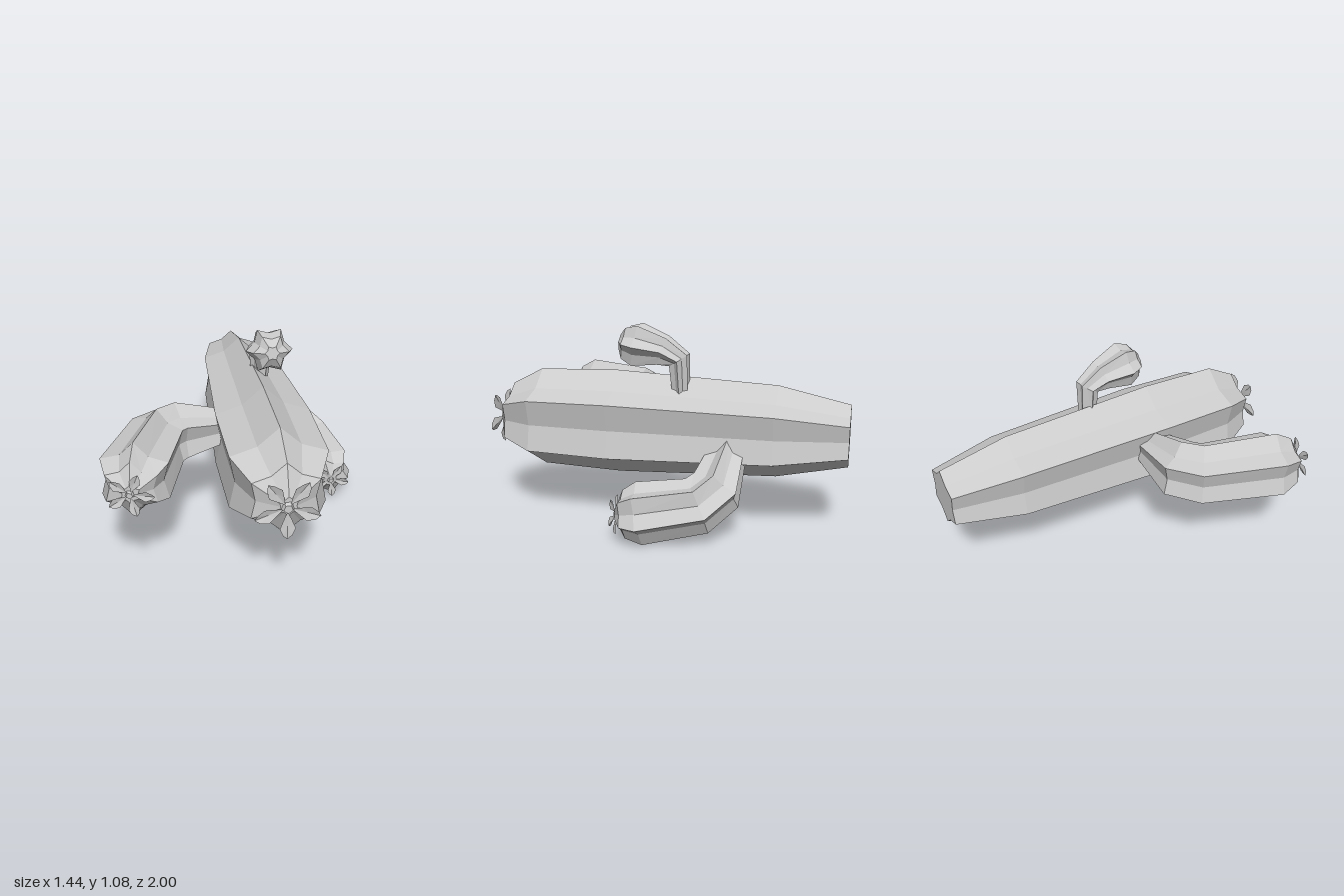
import * as THREE from 'three';

const V = (x, y, z) => new THREE.Vector3(x, y, z);
const material = new THREE.MeshStandardMaterial({ color: 0xcccccc, flatShading: true });
const petalMaterial = new THREE.MeshStandardMaterial({ color: 0xcccccc, flatShading: true, side: THREE.DoubleSide });

function meshFrom(points, index, mat, name) {
  const indexed = new THREE.BufferGeometry().setFromPoints(points);
  indexed.setIndex(index);
  const geometry = indexed.toNonIndexed();
  geometry.computeVertexNormals();
  const mesh = new THREE.Mesh(geometry, mat);
  mesh.name = name;
  return mesh;
}

// Six-ribbed stem: rings are [x, y, z, radius]; one rib follows the ridge direction
function ribbedStem(name, rings, ridge, valley) {
  const sides = 12, points = [], index = [];
  const centres = rings.map(([x, y, z]) => V(x, y, z));
  const last = rings.length - 1;
  rings.forEach((ring, i) => {
    const before = centres[i].clone().sub(centres[Math.max(i - 1, 0)]).normalize();
    const after = centres[Math.min(i + 1, last)].clone().sub(centres[i]).normalize();
    const t = before.add(after).normalize();
    const u = ridge.clone().addScaledVector(t, -ridge.dot(t)).normalize();
    const v = t.clone().cross(u);
    for (let j = 0; j < sides; j++) {
      const a = (j / sides) * Math.PI * 2;
      const r = ring[3] * (j % 2 ? valley : 1);
      points.push(centres[i].clone().addScaledVector(u, r * Math.cos(a)).addScaledVector(v, r * Math.sin(a)));
    }
  });
  const start = points.push(centres[0]) - 1;
  const end = points.push(centres[last]) - 1;
  for (let j = 0; j < sides; j++) {
    const k = (j + 1) % sides;
    for (let i = 0; i < last; i++) {
      const a = i * sides, b = a + sides;
      index.push(a + j, a + k, b + j, a + k, b + k, b + j);
    }
    index.push(start, k, j, end, last * sides + j, last * sides + k);
  }
  return meshFrom(points, index, material, name);
}

// Five folded petals around a small pentagonal centre, facing +z before turning
function flower(name, position, facing, radius, spin) {
  const group = new THREE.Group();
  group.name = name;
  const outline = [
    V(0, 0.12, 0.02), V(-0.13, 0.4, 0.06), V(-0.23, 0.63, 0.11), V(-0.13, 0.87, 0.11),
    V(0, 1, 0.07), V(0.13, 0.87, 0.11), V(0.23, 0.63, 0.11), V(0.13, 0.4, 0.06),
    V(0, 0.6, 0.04),
  ].map((p) => p.multiplyScalar(radius));
  const index = [];
  for (let i = 0; i < 8; i++) index.push(8, (i + 1) % 8, i);
  for (let i = 0; i < 5; i++) {
    const petal = meshFrom(outline, index, petalMaterial, 'petal');
    petal.rotation.z = Math.PI + spin + (i / 5) * Math.PI * 2;
    group.add(petal);
  }
  const centre = new THREE.Mesh(new THREE.CylinderGeometry(0.14 * radius, 0.2 * radius, 0.12 * radius, 5), material);
  centre.name = 'flowerCentre';
  centre.rotation.x = Math.PI / 2;
  centre.position.z = 0.04 * radius;
  group.add(centre);
  group.position.copy(position);
  group.quaternion.setFromUnitVectors(V(0, 0, 1), facing.normalize());
  return group;
}

export function createModel() {
  const model = new THREE.Group();
  model.name = 'cactus';

  // Main trunk lying along z
  const profile = [[-1, 0.17], [-0.62, 0.253], [0.27, 0.295], [0.73, 0.282], [0.91, 0.19], [0.975, 0.05]];
  model.add(ribbedStem('trunk', profile.map(([z, r]) => [0.13, 0.53, z, r]), V(0, 1, 0), 0.765));
  model.add(flower('trunkFlower', V(0.125, 0.525, 0.978), V(0, 0, 1), 0.165, 0));

  // Large arm on the right
  model.add(ribbedStem('rightArm', [
    [0.02, 0.56, 0.16, 0.08], [-0.335, 0.555, 0.2, 0.175], [-0.435, 0.555, 0.28, 0.18],
    [-0.563, 0.555, 0.67, 0.195], [-0.582, 0.555, 0.765, 0.143], [-0.588, 0.555, 0.815, 0.05],
  ], V(0, 1, 0), 0.73));
  model.add(flower('rightFlower', V(-0.59, 0.555, 0.818), V(-0.15, 0, 1), 0.118, 0.26));

  // Drooping arm on the left
  model.add(ribbedStem('leftArm', [
    [0.22, 0.48, -0.39, 0.095], [0.435, 0.28, -0.35, 0.145], [0.515, 0.215, -0.265, 0.15],
    [0.561, 0.163, 0.03, 0.163], [0.565, 0.152, 0.11, 0.125], [0.567, 0.148, 0.148, 0.045],
  ], V(0.68, 0.73, 0), 0.73));
  model.add(flower('leftFlower', V(0.567, 0.15, 0.15), V(0.03, -0.05, 1), 0.11, 0.12));

  // Small budding arm on top
  model.add(ribbedStem('topArm', [
    [0.172, 0.72, -0.097, 0.05], [0.18, 0.905, -0.09, 0.067], [0.18, 0.953, 0, 0.088],
    [0.182, 0.98, 0.145, 0.127], [0.182, 0.99, 0.21, 0.097], [0.182, 0.996, 0.24, 0.04],
  ], V(1, 0, 0), 0.73));

  return model;
}
